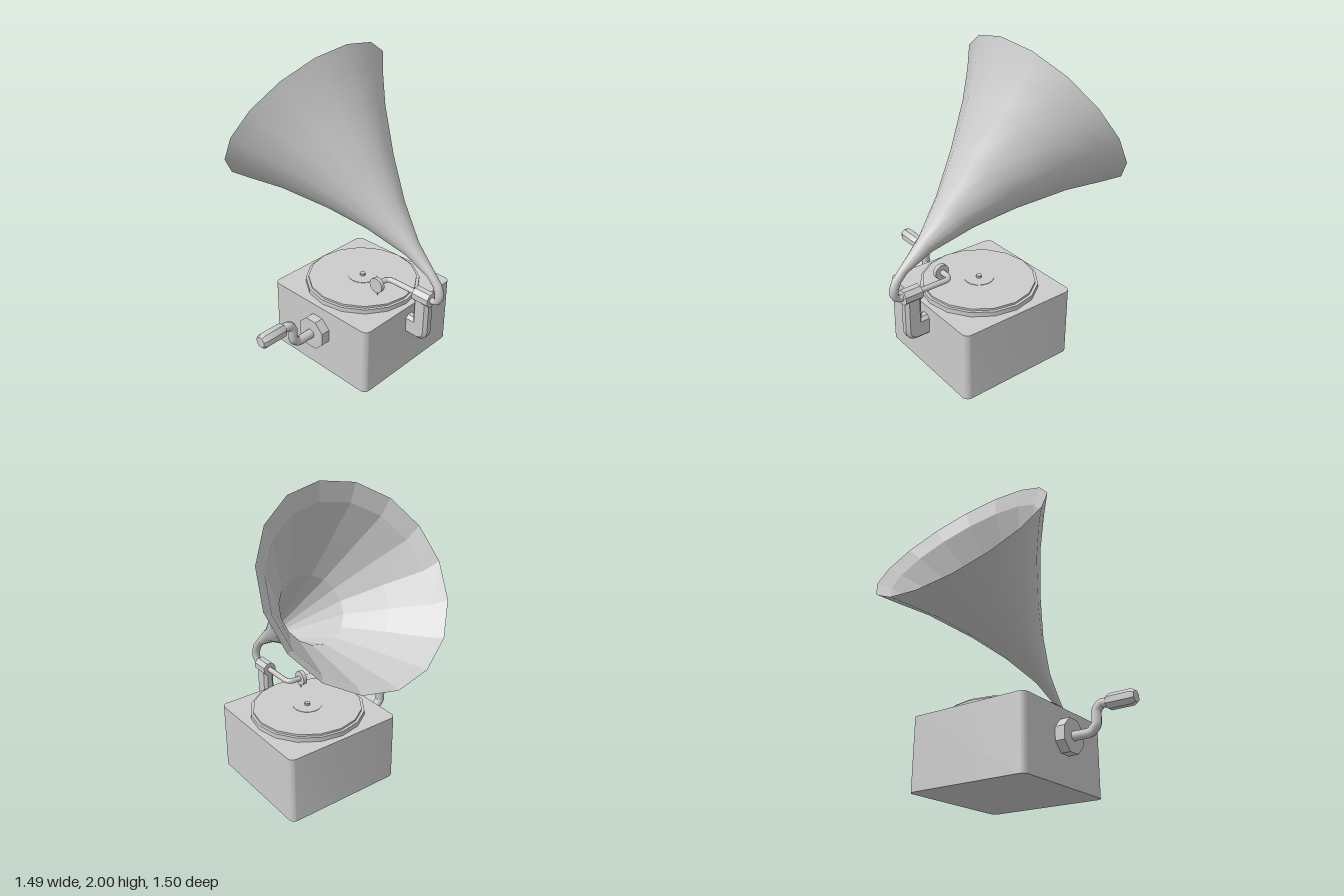
import * as THREE from 'three';
import { toCreasedNormals } from 'three/addons/utils/BufferGeometryUtils.js';

const CX = 0.13, CZ = 0.105; // centre of the cabinet
const grey = new THREE.MeshStandardMaterial({ color: 0xcccccc });
const faceted = new THREE.MeshStandardMaterial({ color: 0xcccccc, flatShading: true });

function part(parent, name, geometry, x = 0, y = 0, z = 0, material = grey) {
  const mesh = new THREE.Mesh(geometry, material);
  mesh.name = name;
  mesh.position.set(x, y, z);
  parent.add(mesh);
  return mesh;
}

// Turned solid from [radius, height] pairs, with crisp edges
function turned(points, sides, start = 0) {
  const g = new THREE.LatheGeometry(points.map(([r, y]) => new THREE.Vector2(r, y)), sides, start);
  return toCreasedNormals(g, 0.6);
}

// Bent rod through points
function rod(points, radius, tension) {
  const curve = new THREE.CatmullRomCurve3(points.map(p => new THREE.Vector3(...p)), false, 'catmullrom', tension);
  return new THREE.TubeGeometry(curve, 28, radius, 8);
}

function roundedRect(w, d, r) {
  const s = new THREE.Shape();
  s.absarc(w / 2 - r, d / 2 - r, r, 0, Math.PI / 2);
  s.absarc(-w / 2 + r, d / 2 - r, r, Math.PI / 2, Math.PI);
  s.absarc(-w / 2 + r, -d / 2 + r, r, Math.PI, Math.PI * 1.5);
  s.absarc(w / 2 - r, -d / 2 + r, r, Math.PI * 1.5, Math.PI * 2);
  s.closePath();
  return s;
}

// Flared skin through round rings, each given by its upper and lower points (z, y, z, y)
function ringSkin(rings, facesInward) {
  const sides = 16, pos = [], index = [];
  rings.forEach(([zt, yt, zb, yb], i) => {
    const z = (zt + zb) / 2, y = (yt + yb) / 2, r = Math.hypot(zt - z, yt - y);
    for (let j = 0; j < sides; j++) {
      const a = (j / sides) * Math.PI * 2, c = Math.cos(a);
      pos.push(CX + r * Math.sin(a), y + c * (yt - y), z + c * (zt - z));
      if (i === 0) continue;
      const k = (j + 1) % sides, p = (i - 1) * sides, q = i * sides;
      if (facesInward) index.push(p + j, p + k, q + j, p + k, q + k, q + j);
      else index.push(p + j, q + j, p + k, p + k, q + j, q + k);
    }
  });
  const g = new THREE.BufferGeometry();
  g.setAttribute('position', new THREE.Float32BufferAttribute(pos, 3));
  g.setIndex(index);
  g.computeVertexNormals();
  return g;
}

export function createModel() {
  const model = new THREE.Group();
  model.name = 'gramophone';

  // Cabinet with rounded upright corners
  const box = new THREE.ExtrudeGeometry(roundedRect(0.82, 0.81, 0.04), { depth: 0.455, bevelEnabled: false, curveSegments: 4 });
  box.rotateX(-Math.PI / 2);
  part(model, 'cabinet', toCreasedNormals(box, 0.6), CX, 0, CZ);

  // Turntable, record, label and spindle
  const turntable = new THREE.Group();
  turntable.name = 'turntable';
  turntable.position.set(CX, 0, CZ);
  model.add(turntable);
  part(turntable, 'platter', turned([[0, 0.45], [0.373, 0.45], [0.373, 0.485], [0, 0.485]], 16));
  part(turntable, 'record', turned([[0, 0.48], [0.355, 0.48], [0.355, 0.498], [0, 0.498]], 16));
  part(turntable, 'label', turned([[0, 0.49], [0.095, 0.49], [0.095, 0.501], [0, 0.501]], 16));
  part(turntable, 'spindle', turned([[0, 0.49], [0.018, 0.49], [0.018, 0.517], [0, 0.517]], 8));

  // Winding crank on the right side
  const crank = new THREE.Group();
  crank.name = 'crank';
  crank.position.z = 0.1;
  model.add(crank);
  const hub = turned([[0, 0], [0.108, 0], [0.108, 0.07], [0, 0.07]], 8, Math.PI / 8);
  part(crank, 'crankHub', hub, -0.272, 0.28, 0).rotation.z = Math.PI / 2;
  part(crank, 'crankArm', rod([
    [-0.32, 0.28, 0], [-0.45, 0.28, 0], [-0.492, 0.32, 0],
    [-0.494, 0.4, 0], [-0.525, 0.435, 0], [-0.6, 0.435, 0],
  ], 0.03, 0.15));
  const grip = turned([[0, 0], [0.038, 0], [0.048, 0.015], [0.048, 0.155], [0.036, 0.178], [0, 0.178]], 8, Math.PI / 8);
  part(crank, 'crankHandle', grip, -0.569, 0.433, 0).rotation.z = Math.PI / 2;

  // Elbow bracket behind the cabinet, drawn in z-y and extruded across x
  const side = new THREE.Shape();
  side.moveTo(0.48, 0.282);
  side.lineTo(0.595, 0.282);
  side.quadraticCurveTo(0.643, 0.288, 0.643, 0.34);
  side.lineTo(0.643, 0.575);
  side.lineTo(0.572, 0.575);
  side.lineTo(0.572, 0.378);
  side.lineTo(0.48, 0.378);
  side.closePath();
  const elbow = new THREE.ExtrudeGeometry(side, { depth: 0.035, bevelThickness: 0.02, bevelSize: 0.02, bevelSegments: 1, curveSegments: 4 });
  elbow.rotateY(-Math.PI / 2);
  part(model, 'bracket', toCreasedNormals(elbow, 0.5), CX + 0.0175, 0, 0);
  // Octagonal collar through which the tone arm passes
  const collar = turned([[0, 0], [0.049, 0], [0.049, 0.118], [0, 0.118]], 8, Math.PI / 8);
  part(model, 'bracketCollar', collar, CX, 0.57, 0.55).rotation.x = Math.PI / 2;

  // Tone arm, sound box and needle
  part(model, 'toneArm', rod([
    [CX, 0.57, 0.69], [CX, 0.57, 0.5], [CX, 0.57, 0.36], [CX - 0.012, 0.57, 0.33],
    [CX - 0.04, 0.57, 0.32], [0.03, 0.57, 0.32],
  ], 0.018, 0.3));
  const soundBox = turned([[0, 0], [0.05, 0], [0.05, 0.027], [0, 0.027]], 16);
  part(model, 'soundBox', soundBox, 0.04, 0.57, 0.32).rotation.z = Math.PI / 2;
  part(model, 'needle', new THREE.CylinderGeometry(0.006, 0.003, 0.04, 6), 0.027, 0.517, 0.325);

  // Horn: smooth outer skin ending in the bent neck, faceted inner skin
  const rim = [-0.048, 2, -0.752, 0.996];
  part(model, 'horn', ringSkin([
    rim, [-0.005, 1.86, -0.64, 0.992], [0.074, 1.667, -0.4, 0.99],
    [0.217, 1.386, -0.074, 0.952], [0.37, 1.127, 0.196, 0.9], [0.524, 0.915, 0.47, 0.815],
    [0.67, 0.767, 0.63, 0.73], [0.725, 0.705, 0.677, 0.68], [0.748, 0.65, 0.692, 0.643],
    [0.747, 0.605, 0.694, 0.615], [0.725, 0.566, 0.69, 0.595], [0.69, 0.55, 0.68, 0.59],
    [0.65, 0.55, 0.65, 0.59],
  ], false));
  part(model, 'hornInside', ringSkin([
    rim, [-0.045, 1.88, -0.668, 1.01], [0.05, 1.645, -0.385, 1.015],
    [0.165, 1.38, -0.085, 1.015], [0.51, 0.885, 0.475, 0.84], [0.65, 0.75, 0.65, 0.75],
  ], true), 0, 0, 0, faceted);

  return model;
}
